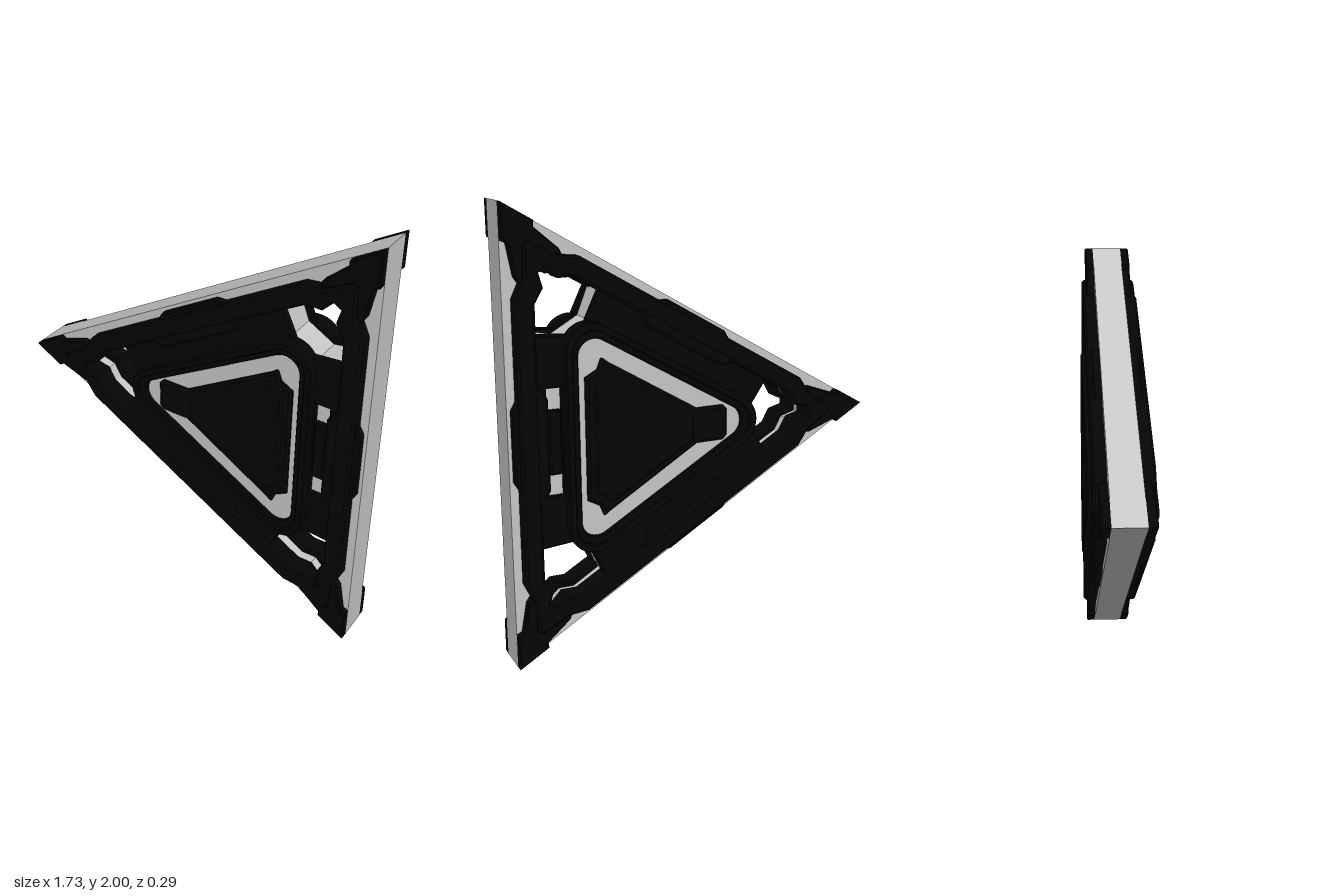
import * as THREE from 'three';

const CX = 0.289; // centroid of the triangle in x
const DEG = Math.PI / 180;
const CORNERS = [-60, 60, 180];
const SIDES = [0, 120, 240];
const FACE = 0.07; // half thickness of the core

// point at distance r from the centroid along the angle, t sideways
function polar(r, t, deg) {
  const a = deg * DEG;
  return new THREE.Vector2(CX + r * Math.cos(a) - t * Math.sin(a), r * Math.sin(a) + t * Math.cos(a));
}

// half profile [r, t] mirrored to both sides of the radial axis
function mirrored(half, deg) {
  const pts = half.map(([r, t]) => polar(r, -t, deg));
  [...half].reverse().forEach(([r, t]) => { if (t > 0) pts.push(polar(r, t, deg)); });
  return pts;
}

const shapeOf = (half, deg) => new THREE.Shape(mirrored(half, deg));
const threefold = (half) => CORNERS.flatMap((a) => mirrored(half, a));

// triangle with rounded corners: d = centroid to side, rad = corner radius
function roundedTriangle(Type, d, rad) {
  const s = new Type();
  for (const a of CORNERS) {
    const c = polar(2 * (d - rad), 0, a);
    s.absarc(c.x, c.y, rad, (a - 60) * DEG, (a + 60) * DEG, false);
  }
  s.closePath();
  return s;
}

export function createModel() {
  const grey = new THREE.MeshStandardMaterial({ color: 0xc6c6c6 });
  grey.name = 'light grey';
  const black = new THREE.MeshStandardMaterial({ color: 0x050505 });
  black.name = 'black';

  const model = new THREE.Group();
  model.name = 'triangularPanel';
  const body = new THREE.Group();
  body.name = 'body';
  body.position.y = 1;
  model.add(body);

  // grey core, its openings set back behind the frame
  const core = new THREE.Shape(CORNERS.map((a) => polar(1.1547, 0, a)));
  for (const a of CORNERS) {
    core.holes.push(new THREE.Path(mirrored([[0.54, 0.07], [0.615, 0.165], [0.635, 0.185], [0.755, 0.118], [0.79, 0.055], [0.86, 0.035]], a)));
  }
  const coreGeo = new THREE.ExtrudeGeometry(core, { depth: 2 * FACE, bevelEnabled: false });
  coreGeo.translate(0, 0, -FACE);
  const coreMesh = new THREE.Mesh(coreGeo, grey);
  coreMesh.name = 'core';
  body.add(coreMesh);

  // chamfered slab from base up to z = top, on front and back
  function slab(name, shape, top, bevel = 0.012, base = FACE, material = black) {
    const geo = new THREE.ExtrudeGeometry(shape, {
      depth: top - base - bevel, bevelThickness: bevel, bevelSize: bevel,
      bevelOffset: -bevel, bevelSegments: 1, curveSegments: 10,
    });
    geo.translate(0, 0, base);
    for (const side of ['front', 'back']) {
      const mesh = new THREE.Mesh(geo, material);
      mesh.name = side + name;
      if (side === 'back') mesh.rotation.x = Math.PI;
      body.add(mesh);
    }
  }

  // outer frame that narrows around the corner openings
  const frame = new THREE.Shape(threefold([[0.80, 0.162], [0.855, 0.083], [0.875, 0.072], [0.968, 0.012]]));
  frame.holes.push(new THREE.Path(threefold([[0.627, 0.166], [0.742, 0.099], [0.777, 0.036], [0.84, 0.02]])));
  slab('Frame', frame, 0.13, 0.01, 0.035);

  // arrow shaped corner caps
  for (const a of CORNERS) {
    slab('CornerCap', shapeOf([[0.87, 0.05], [0.84, 0.105], [0.87, 0.108], [1.0, 0.062], [1.02, 0.077], [1.154, 0]], a), 0.11, 0.006);
  }

  // clamps, frame shoulders and filler panels along each side
  for (const a of SIDES) {
    slab('SideClamp', shapeOf([[0.5, 0.2], [0.535, 0.2], [0.562, 0.155]], a), 0.108, 0.008);
    slab('FrameShoulder', shapeOf([[0.416, 0.2], [0.47, 0.27]], a), 0.13, 0.01);
    const panel = shapeOf([[0.3, 0.45], [0.33, 0.455], [0.46, 0.465]], a);
    if (a === 0) panel.holes.push(new THREE.Path(mirrored([[0.346, 0.235], [0.414, 0.235]], a)));
    slab('SidePanel', panel, 0.1, 0.006);
  }
  slab('SlotBar', shapeOf([[0.352, 0.14], [0.406, 0.14]], 0), 0.1, 0.006);

  // rounded central ring with a lower inner step
  const ring = roundedTriangle(THREE.Shape, 0.341, 0.12);
  ring.holes.push(roundedTriangle(THREE.Path, 0.308, 0.092));
  slab('CentreRing', ring, 0.143, 0.006);
  const step = roundedTriangle(THREE.Shape, 0.316, 0.1);
  step.holes.push(roundedTriangle(THREE.Path, 0.281, 0.073));
  slab('RingStep', step, 0.13, 0.006);

  // grey floor inside the ring
  slab('CentreFloor', roundedTriangle(THREE.Shape, 0.29, 0.08), 0.11, 0.002, FACE, grey);

  // notched centre block with a tab pointing at the left corner
  slab('CentreBlock', shapeOf([
    [0.419, 0.06], [0.4, 0.08], [0.27, 0.08], [-0.15, 0.33], [-0.168, 0.345], [-0.178, 0.345], [-0.196, 0.3], [-0.251, 0.27],
  ], 180), 0.13, 0.012, 0.1);
  slab('CentreRaise', shapeOf([[0.25, 0.055], [-0.145, 0.29], [-0.18, 0.255], [-0.215, 0.24]], 180), 0.14, 0.01, 0.12);

  return model;
}
